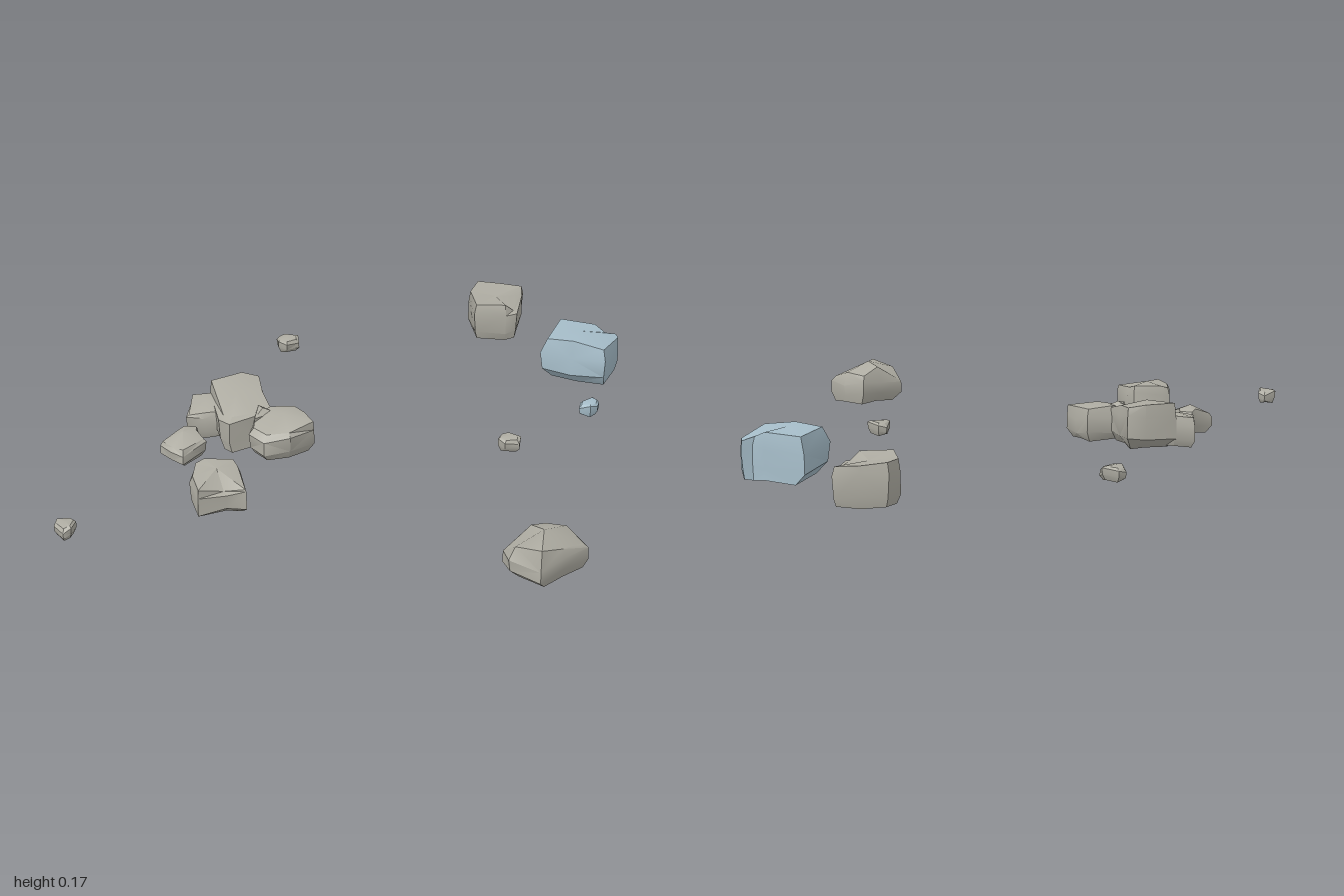
import * as THREE from 'three';
import { toCreasedNormals } from 'three/addons/utils/BufferGeometryUtils.js';

const grey = new THREE.MeshStandardMaterial({ color: 0xafada3 });
grey.name = 'warm grey stone';
const blue = new THREE.MeshStandardMaterial({ color: 0xa6bdc9 });
blue.name = 'pale blue stone';

// A rock is lofted through four rings: base, lower belt, upper belt, top rim.
// Outline corners run clockwise seen from above: [x, z, topScale, topY].
// base = [y, scale, dx, dz]; belt = [lowY, highY]; peak = [x, y, z] of the top.
function rock(name, material, outline, base, belt, peak) {
  const n = outline.length;
  const cx = outline.reduce((s, p) => s + p[0], 0) / n;
  const cz = outline.reduce((s, p) => s + p[1], 0) / n;
  const v = [], idx = [];
  const ring = (f) => outline.forEach((p, i) => {
    const [s, y, dx = 0, dz = 0] = f(p, i);
    v.push(cx + (p[0] - cx) * s + dx, y, cz + (p[1] - cz) * s + dz);
  });
  ring((p, i) => [base[1], base[0] + (i % 2) * 0.006, base[2], base[3]]);
  ring((p, i) => [i % 2 ? 0.95 : 0.99, belt[0] + (i % 3) * 0.006]);
  ring((p, i) => [i % 2 ? 1 : 0.98, Math.min(belt[1] + (i % 3) * 0.008, p[3] - 0.003)]);
  ring((p) => [p[2], p[3]]);
  v.push(cx + base[2], base[0], cz + base[3], ...peak);
  const bottom = 4 * n, top = 4 * n + 1;
  for (let i = 0; i < n; i++) {
    const j = (i + 1) % n;
    for (let r = 0; r < 3; r++) {
      const a = r * n, b = a + n;
      if ((i + r) % 2) idx.push(a + j, a + i, b + i, a + j, b + i, b + j);
      else idx.push(a + j, a + i, b + j, a + i, b + i, b + j);
    }
    idx.push(bottom, i, j, top, 3 * n + j, 3 * n + i);
  }
  const geo = new THREE.BufferGeometry();
  geo.setAttribute('position', new THREE.Float32BufferAttribute(v, 3));
  geo.setIndex(idx);
  const mesh = new THREE.Mesh(toCreasedNormals(geo, 0.6), material);
  mesh.name = name;
  return mesh;
}

// Small six-sided pebble, rx by rz, turned about y
function pebble(name, material, x, z, rx, rz, turn) {
  const outline = [];
  for (let i = 0; i < 6; i++) {
    const a = (i / 6) * Math.PI * 2 + (i % 2) * 0.3;
    const px = Math.cos(a) * rx, pz = Math.sin(a) * rz;
    outline.push([
      x + px * Math.cos(turn) - pz * Math.sin(turn),
      z + px * Math.sin(turn) + pz * Math.cos(turn),
      0.75, 0.066 + (i % 3) * 0.003]);
  }
  return rock(name, material, outline, [0.02, 0.72, 0, 0], [0.033, 0.052], [x, 0.073, z]);
}

export function createModel() {
  const g = new THREE.Group();
  g.name = 'scatteredRocks';
  g.add(
    // Tall block at the back, with a dished top
    rock('backRock', grey, [
      [0.305, -0.90, 0.93, 0.150], [0.33, -0.99, 0.94, 0.155], [0.42, -1.0, 0.97, 0.145],
      [0.51, -1.0, 0.92, 0.140], [0.51, -0.95, 0.86, 0.125], [0.50, -0.79, 0.80, 0.120],
      [0.46, -0.775, 0.88, 0.150], [0.34, -0.765, 0.92, 0.152]],
      [0.004, 0.88, 0, 0], [0.035, 0.11], [0.41, 0.140, -0.89]),

    // Large blue slab with a notch beside its spur
    rock('blueRock', blue, [
      [0.655, -0.68, 0.88, 0.165], [0.80, -0.63, 0.92, 0.170], [0.845, -0.605, 0.88, 0.150],
      [0.88, -0.62, 0.97, 0.138], [0.89, -0.585, 0.96, 0.140], [0.845, -0.415, 0.88, 0.160],
      [0.72, -0.45, 0.90, 0.175], [0.605, -0.48, 0.86, 0.165]],
      [0.002, 0.80, 0.01, -0.01], [0.04, 0.105], [0.74, 0.175, -0.55]),

    // Front right boulder, ridge on its left half
    rock('frontRightRock', grey, [
      [0.56, 0.87, 0.90, 0.085], [0.63, 0.795, 0.72, 0.142], [0.69, 0.735, 0.88, 0.115],
      [0.77, 0.76, 0.85, 0.125], [0.835, 0.83, 0.86, 0.100], [0.76, 0.92, 0.88, 0.120],
      [0.69, 0.995, 0.86, 0.145], [0.585, 0.94, 0.82, 0.125]],
      [0.004, 0.80, 0.01, -0.01], [0.035, 0.075], [0.69, 0.156, 0.86]),

    // Front left boulder with a chipped corner
    rock('frontLeftRock', grey, [
      [-0.50, 0.52, 0.90, 0.130], [-0.47, 0.503, 0.92, 0.140], [-0.365, 0.495, 0.92, 0.140],
      [-0.34, 0.52, 0.88, 0.130], [-0.295, 0.66, 0.95, 0.115], [-0.36, 0.675, 0.72, 0.100],
      [-0.45, 0.715, 0.95, 0.130], [-0.495, 0.62, 0.88, 0.130]],
      [0.006, 0.76, 0, -0.03], [0.035, 0.10], [-0.41, 0.145, 0.58]),

    // Main rock of the cluster, overhanging at the back
    rock('clusterMainRock', grey, [
      [-0.54, 0.0, 0.94, 0.172], [-0.435, -0.07, 0.96, 0.176], [-0.37, -0.075, 0.93, 0.165],
      [-0.335, 0.03, 0.88, 0.155], [-0.29, 0.13, 0.86, 0.130], [-0.35, 0.18, 0.82, 0.135],
      [-0.43, 0.23, 0.80, 0.135], [-0.47, 0.21, 0.80, 0.130]],
      [0.006, 0.74, 0, 0.03], [0.045, 0.12], [-0.43, 0.172, 0.06]),

    // Small chip wedged between the main and right rocks
    rock('clusterChip', grey, [
      [-0.355, 0.10, 0.6, 0.145], [-0.285, 0.135, 0.6, 0.140], [-0.345, 0.205, 0.6, 0.140]],
      [0.06, 0.7, 0, 0], [0.08, 0.12], [-0.325, 0.150, 0.145]),

    // Right rock of the cluster
    rock('clusterRightRock', grey, [
      [-0.36, 0.17, 0.88, 0.130], [-0.31, 0.10, 0.88, 0.138], [-0.22, 0.07, 0.90, 0.130],
      [-0.175, 0.115, 0.90, 0.130], [-0.138, 0.18, 0.96, 0.126], [-0.21, 0.265, 0.86, 0.115],
      [-0.30, 0.287, 0.82, 0.110], [-0.36, 0.24, 0.84, 0.115]],
      [0.01, 0.80, 0, 0], [0.035, 0.085], [-0.25, 0.143, 0.165]),

    // Left rock of the cluster, tucked under the main one
    rock('clusterLeftRock', grey, [
      [-0.605, 0.01, 0.90, 0.118], [-0.53, 0.0, 0.88, 0.125], [-0.46, 0.05, 0.86, 0.120],
      [-0.47, 0.13, 0.86, 0.115], [-0.53, 0.145, 0.86, 0.112], [-0.595, 0.157, 0.88, 0.105]],
      [0.01, 0.80, 0, 0], [0.035, 0.085], [-0.54, 0.128, 0.07]),

    // Diamond-shaped stone in front of the cluster
    rock('clusterFrontRock', grey, [
      [-0.66, 0.305, 0.88, 0.080], [-0.605, 0.245, 0.82, 0.105], [-0.59, 0.21, 0.88, 0.100],
      [-0.54, 0.21, 0.86, 0.100], [-0.535, 0.245, 0.84, 0.105], [-0.50, 0.285, 0.88, 0.090],
      [-0.565, 0.380, 0.84, 0.085], [-0.61, 0.362, 0.84, 0.085]],
      [0.012, 0.72, 0, -0.01], [0.035, 0.065], [-0.58, 0.115, 0.285]),

    // Loose pebbles
    pebble('bluePebble', blue, 0.80, -0.195, 0.046, 0.031, -0.8),
    pebble('backPebble', grey, -0.35, -0.575, 0.047, 0.046, 0.1),
    pebble('rightPebble', grey, 0.53, 0.10, 0.045, 0.040, 0.5),
    pebble('leftPebble', grey, -0.86, 0.86, 0.048, 0.037, 1.5),
  );
  return g;
}
